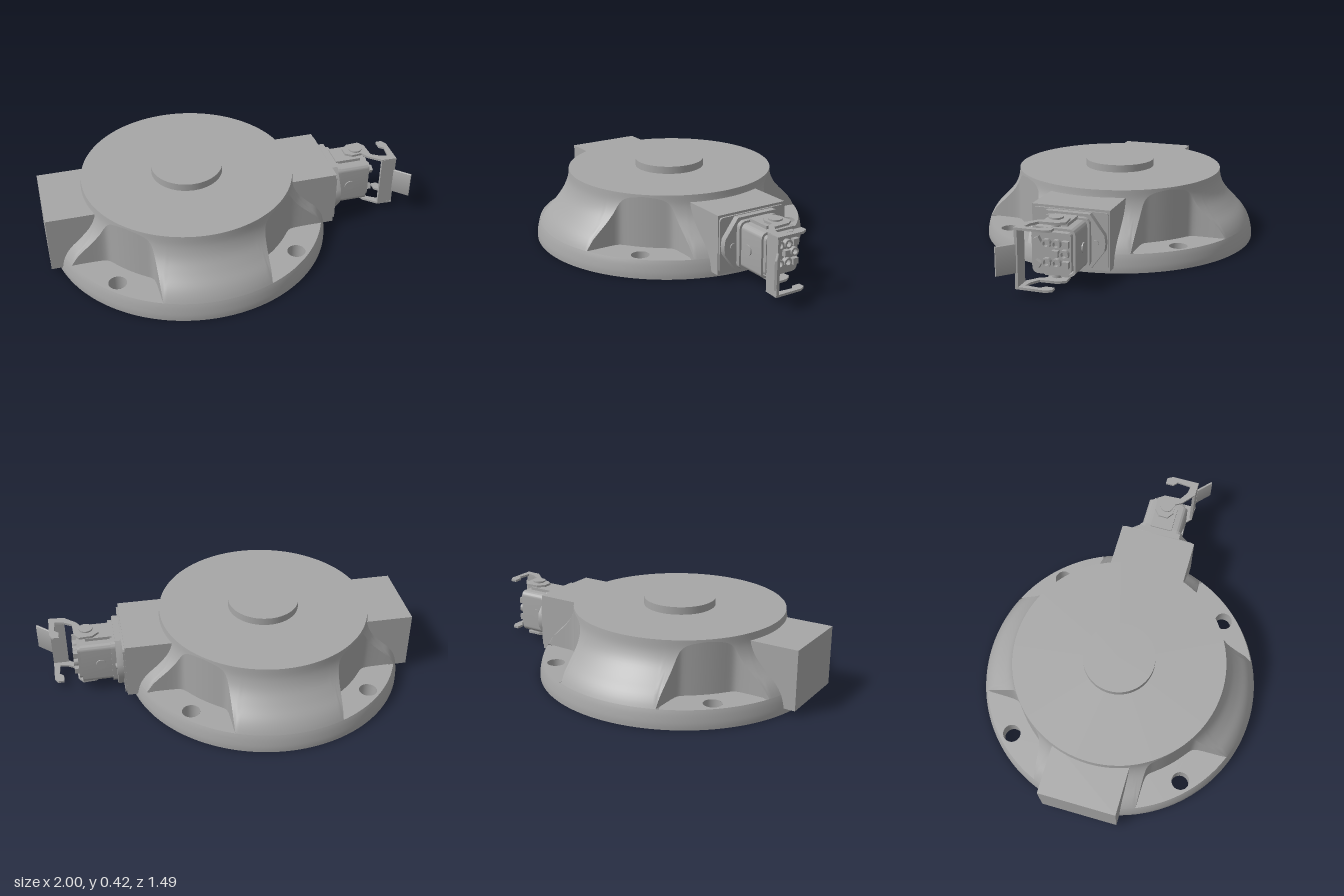
import * as THREE from 'three';
import { toCreasedNormals } from 'three/addons/utils/BufferGeometryUtils.js';

const CX = -0.225, TOP = 0.378, FLOOR = 0.095, HALF = 0.28, COLS = 288;
const BOLT_R = 0.664, HOLE = 0.047;

export function createModel() {
  const model = new THREE.Group();
  const castGrey = new THREE.MeshStandardMaterial({ color: 0xa6a6a6, side: THREE.DoubleSide });
  castGrey.name = 'cast grey';

  const add = (name, geo, x = 0, y = 0, z = 0, parent = model) => {
    const m = new THREE.Mesh(geo, castGrey);
    m.name = name;
    m.position.set(x, y, z);
    parent.add(m);
    return m;
  };
  const box = (name, x0, x1, y0, y1, z0, z1, parent) => add(name, new THREE.BoxGeometry(x1 - x0, y1 - y0, z1 - z0),
    (x0 + x1) / 2, (y0 + y1) / 2, (z0 + z1) / 2, parent);
  const poly = pts => new THREE.Shape(pts.map(p => new THREE.Vector2(p[0], p[1])));
  const circle = (x, y, r) => new THREE.Path().absarc(x, y, r, 0, Math.PI * 2, true);
  const rounded = (w, h, r, cx = 0, cy = 0, S = THREE.Shape) => {
    const s = new S(), a = w / 2 - r, b = h / 2 - r;
    s.absarc(cx + a, cy + b, r, 0, Math.PI / 2);
    s.absarc(cx - a, cy + b, r, Math.PI / 2, Math.PI);
    s.absarc(cx - a, cy - b, r, Math.PI, Math.PI * 1.5);
    s.absarc(cx + a, cy - b, r, Math.PI * 1.5, Math.PI * 2);
    s.closePath();
    return s;
  };
  const solid = (shape, depth) => toCreasedNormals(
    new THREE.ExtrudeGeometry(shape, { depth, bevelEnabled: false, curveSegments: 10 }), 0.6);
  // shape drawn in (-z, y), extruded along +x
  const alongX = (shape, depth) => solid(shape, depth).rotateY(Math.PI / 2);
  // shape drawn in (x, z), extruded downwards from y = 0
  const flat = (shape, depth) => solid(shape, depth).rotateX(Math.PI / 2);

  // ---- body: ogee profile with four pockets ----
  const body = new THREE.Group();
  body.name = 'body';
  body.position.x = CX;
  model.add(body);
  const profile = new THREE.SplineCurve([[0.746, 0], [0.744, 0.035], [0.728, 0.095], [0.694, 0.15], [0.64, 0.205],
    [0.593, 0.262], [0.567, 0.32], [0.558, TOP]].map(p => new THREE.Vector2(...p))).getPoints(140);
  const radiusAt = y => {
    const i = Math.max(1, profile.findIndex(p => p.y >= y - 1e-9));
    const a = profile[i - 1], b = profile[i];
    return a.x + (b.x - a.x) * (y - a.y) / (b.y - a.y);
  };
  const rim = radiusAt(FLOOR);
  const smoothMax = (a, b, k) => (a + b + Math.sqrt((a - b) ** 2 + k * k)) / 2;
  const wallRadius = t => {
    const side = HALF / Math.max(1e-4, Math.min(Math.abs(Math.cos(t)), Math.abs(Math.sin(t))));
    return Math.min(rim, smoothMax(side, 0.558, 0.03));
  };
  const cutHeight = t => {
    const r = wallRadius(t);
    let lo = FLOOR, hi = TOP;
    if (r >= rim - 1e-6) return FLOOR;
    for (let i = 0; i < 24; i++) {
      const mid = (lo + hi) / 2;
      if (radiusAt(mid) > r) lo = mid; else hi = mid;
    }
    return lo;
  };
  // surface of revolution whose radius and height vary with the angle
  const skin = (rows, fn) => {
    const pos = [], idx = [];
    for (let c = 0; c < COLS; c++) {
      const t = c / COLS * Math.PI * 2;
      for (let j = 0; j <= rows; j++) {
        const [r, y] = fn(t, j / rows);
        pos.push(r * Math.cos(t), y, r * Math.sin(t));
        if (j < rows) {
          const a = c * (rows + 1) + j, b = ((c + 1) % COLS) * (rows + 1) + j;
          idx.push(a, a + 1, b, b, a + 1, b + 1);
        }
      }
    }
    const g = new THREE.BufferGeometry();
    g.setAttribute('position', new THREE.Float32BufferAttribute(pos, 3));
    g.setIndex(idx);
    g.computeVertexNormals();
    return g;
  };
  add('baseSkirt', skin(8, (t, v) => [radiusAt(v * FLOOR), v * FLOOR]), 0, 0, 0, body);
  add('pocketWalls', skin(2, (t, v) => [wallRadius(t), FLOOR + v * (cutHeight(t) - FLOOR)]), 0, 0, 0, body);
  add('flaredBody', skin(20, (t, v) => {
    const y0 = cutHeight(t), y = y0 + v * (TOP - y0);
    return [Math.min(radiusAt(y), wallRadius(t)), y];
  }), 0, 0, 0, body);
  add('topFace', new THREE.CircleGeometry(0.559, 96).rotateX(-Math.PI / 2), 0, TOP, 0, body);
  add('topBoss', new THREE.CylinderGeometry(0.188, 0.188, 0.04, 64), 0, TOP + 0.02, 0, body);

  // ---- pocket floors and bolt holes ----
  const floorPts = [], inner = [];
  for (let c = 0; c <= COLS / 4; c++) {
    const t = c / COLS * Math.PI * 2, w = wallRadius(t);
    if (w >= rim - 1e-6) continue;
    floorPts.push([rim * Math.cos(t), rim * Math.sin(t)]);
    inner.unshift([w * Math.cos(t), w * Math.sin(t)]);
  }
  const floor = poly([...floorPts, ...inner]);
  const d = BOLT_R * Math.SQRT1_2;
  floor.holes.push(circle(d, d, HOLE));
  const tube = new THREE.CylinderGeometry(HOLE, HOLE, FLOOR, 32, 1, true);
  const holeSpots = [[0, BOLT_R], [0, -BOLT_R]];
  for (let i = 0; i < 4; i++) {
    const f = add('pocketFloor', new THREE.ShapeGeometry(floor, 24).rotateX(-Math.PI / 2), 0, FLOOR, 0, body);
    f.rotation.y = i * Math.PI / 2;
    holeSpots.push([i % 2 ? d : -d, i < 2 ? d : -d]);
  }
  const ring = new THREE.Shape().absarc(0, 0, 0.746, 0, Math.PI * 2);
  ring.holes.push(circle(0, 0, 0.54));
  holeSpots.forEach(([x, z], i) => {
    ring.holes.push(circle(x, z, HOLE));
    add('boltHole', tube, x, FLOOR / 2, z, body);
    if (i < 2) add('blindHoleEnd', new THREE.CircleGeometry(HOLE, 32).rotateX(Math.PI / 2), x, FLOOR, z, body);
  });
  add('baseRing', new THREE.ShapeGeometry(ring, 96).rotateX(Math.PI / 2), 0, 0, 0, body);

  // ---- underside cavity with slotted plug ----
  add('cavityWall', new THREE.CylinderGeometry(0.54, 0.54, 0.16, 96, 1, true), 0, 0.08, 0, body);
  add('cavityCeiling', new THREE.CircleGeometry(0.54, 96).rotateX(Math.PI / 2), 0, 0.16, 0, body);
  const plug = new THREE.Shape().absarc(0, 0, 0.45, 0, Math.PI * 2);
  plug.holes.push(rounded(0.075, 0.6, 0.037, 0.16, 0, THREE.Path));
  const plugGeo = toCreasedNormals(new THREE.ExtrudeGeometry(plug,
    { depth: 0.12, bevelEnabled: false, curveSegments: 40 }), 0.6).rotateX(Math.PI / 2);
  add('slottedPlug', plugGeo, 0, 0.16, 0, body);

  // ---- side blocks ----
  box('leftBlock', -1, -0.72, 0.028, 0.34, -0.205, 0.205);
  box('rightBlock', 0.27, 0.545, 0.028, 0.34, -0.205, 0.205);

  // ---- connector ----
  const connector = new THREE.Group();
  connector.name = 'connector';
  connector.position.y = 0.183;
  model.add(connector);
  const flange = poly([[-0.115, -0.142], [0.115, -0.142], [0.19, -0.04], [0.195, 0], [0.19, 0.04],
    [0.115, 0.142], [-0.115, 0.142], [-0.19, 0.04], [-0.195, 0], [-0.19, -0.04]]);
  add('gasket', alongX(rounded(0.4, 0.29, 0.02), 0.01), 0.545, 0, 0, connector);
  add('flange', alongX(flange, 0.032), 0.555, 0, 0, connector);
  for (const s of [-1, 1]) {
    add('flangeScrew', new THREE.CylinderGeometry(0.016, 0.016, 0.008, 20).rotateZ(Math.PI / 2), 0.59, 0, s * 0.145, connector);
    add('sideStud', new THREE.CylinderGeometry(0.027, 0.027, 0.008, 24).rotateX(Math.PI / 2), 0.668, 0, s * 0.113, connector);
    box('topRib', 0.6, 0.74, s * 0.127 - 0.008, s * 0.127 + 0.008, -0.06, 0.06, connector);
  }
  const shell = rounded(0.222, 0.235, 0.03);
  shell.holes.push(rounded(0.198, 0.211, 0.02, 0, 0, THREE.Path));
  add('housing', alongX(shell, 0.185), 0.586, 0, 0, connector);
  const lip = rounded(0.245, 0.255, 0.035);
  lip.holes.push(rounded(0.215, 0.225, 0.025, 0, 0, THREE.Path));
  add('housingCollar', alongX(lip, 0.025), 0.586, 0, 0, connector);
  add('insert', alongX(rounded(0.19, 0.2, 0.02), 0.2), 0.586, 0, 0, connector);
  // contacts on the insert face
  for (const [a, b] of [[-0.025, 0.047], [0.025, 0.047], [-0.025, -0.047], [0.025, -0.047], [0.065, 0]]) {
    const socket = new THREE.Shape().absarc(0, 0, 0.023, 0, Math.PI * 2);
    socket.holes.push(circle(0, 0, 0.014));
    add('contactSocket', alongX(socket, 0.025), 0.785, b, -a, connector);
  }
  for (const [a, b, turn] of [[0.072, 0.05, 0], [0.072, -0.05, 0], [-0.07, 0.058, 0.5], [-0.07, -0.058, -0.5], [0.02, 0, 0]]) {
    add('keyBlock', new THREE.BoxGeometry(0.025, 0.032, 0.032), 0.797, b, -a, connector).rotation.x = turn;
  }

  // ---- locking lever: two arms, cross plate and thumb tab ----
  const lever = new THREE.Group();
  lever.name = 'lockingLever';
  connector.add(lever);
  const arm = poly([[0.665, -0.03], [0.7, -0.06], [0.77, -0.065], [0.795, -0.03], [0.8, 0.06], [0.845, 0.088],
    [0.888, 0.095], [0.895, 0.02], [0.872, 0], [0.872, -0.045], [0.905, -0.045], [0.922, -0.015],
    [0.922, 0.135], [0.84, 0.13], [0.775, 0.075], [0.755, 0.04], [0.7, 0.045], [0.665, 0.02]]);
  for (const s of [-1, 1]) {
    add('leverArm', flat(arm, 0.012), 0, s * 0.145 + 0.006, 0, lever);
    add('leverPivot', new THREE.CylinderGeometry(0.026, 0.026, 0.05, 24), 0.73, s * 0.138, 0, lever);
    add('pivotCap', new THREE.CylinderGeometry(0.036, 0.036, 0.008, 24), 0.73, s * 0.16, 0, lever);
  }
  box('leverCrossPlate', 0.84, 0.922, -0.148, 0.148, 0.118, 0.133, lever);
  const tab = add('thumbTab', alongX(rounded(0.012, 0.145, 0.005), 0.1), 0.918, 0, 0.13, lever);
  tab.rotation.y = -0.75;
  return model;
}
